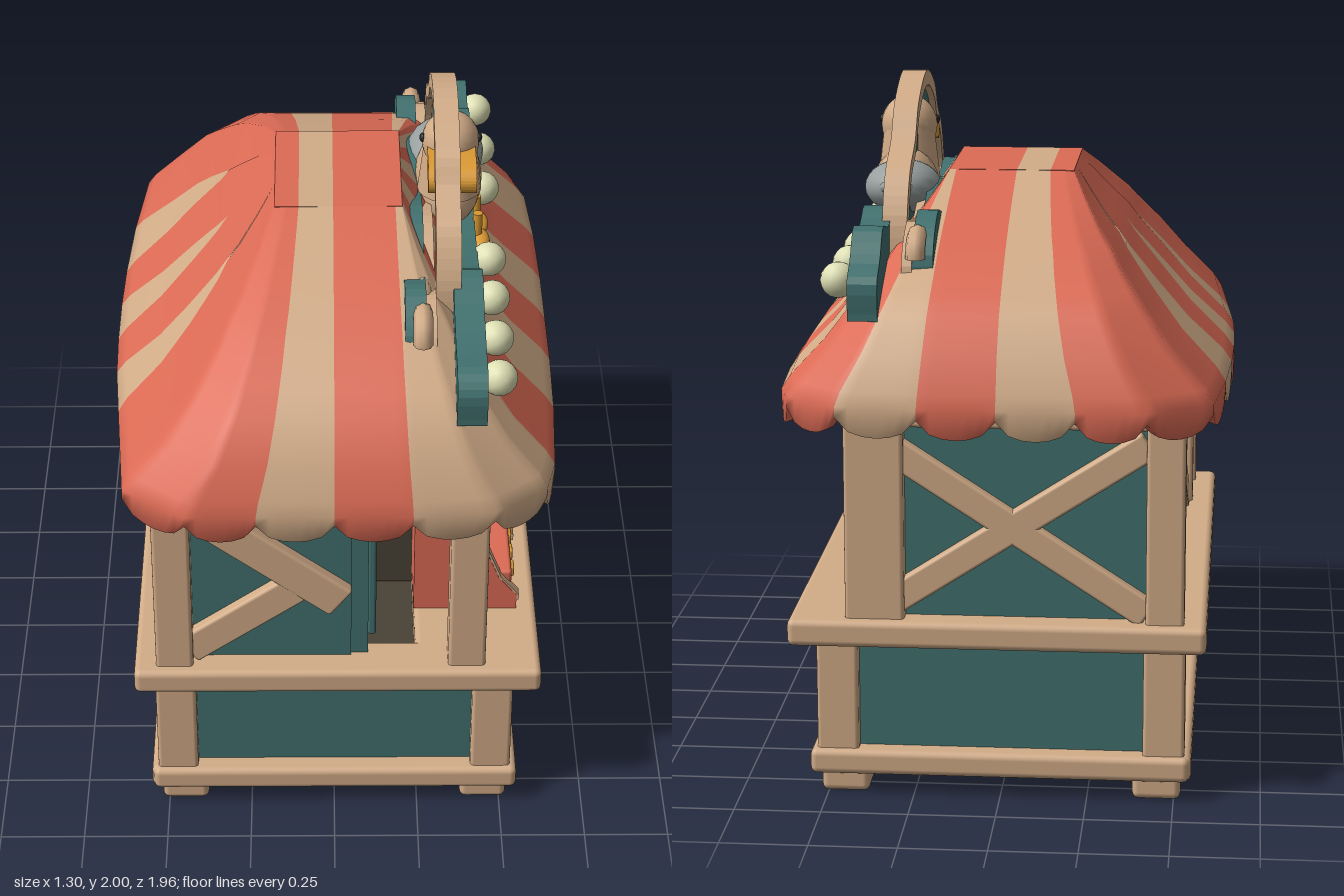
import * as THREE from 'three';
import { RoundedBoxGeometry } from 'three/addons/geometries/RoundedBoxGeometry.js';

const mat = (name, color, side = THREE.FrontSide) => {
  const m = new THREE.MeshStandardMaterial({ color, side });
  m.name = name;
  return m;
};

export function createModel() {
  const root = new THREE.Group();
  root.name = 'marketStall';
  const D = THREE.DoubleSide;
  const tan = mat('tan', 0xd2ac88, D), teal = mat('teal', 0x41716f), red = mat('red', 0xdc6b55, D);
  const yellow = mat('yellow', 0xdb9a35), grey = mat('grey', 0x98a09f), brown = mat('darkBrown', 0x4a4235);
  const cream = mat('bulbCream', 0xdfe0b4), black = mat('black', 0x222426);

  const add = (name, geo, m, parent = root) => {
    const mesh = new THREE.Mesh(geo, m);
    mesh.name = name;
    parent.add(mesh);
    return mesh;
  };
  // Box given by its limits on each axis
  const box = (name, x0, x1, y0, y1, z0, z1, m, r = 0.012) => {
    const s = [x1 - x0, y1 - y0, z1 - z0];
    const geo = r ? new RoundedBoxGeometry(...s, 2, Math.min(r, Math.min(...s) * 0.45)) : new THREE.BoxGeometry(...s);
    geo.translate((x0 + x1) / 2, (y0 + y1) / 2, (z0 + z1) / 2);
    return add(name, geo, m);
  };
  const ball = (name, x, y, z, sx, sy, sz, m, parent = root) => {
    const b = add(name, new THREE.SphereGeometry(1, 20, 14), m, parent);
    b.position.set(x, y, z);
    b.scale.set(sx, sy, sz);
    return b;
  };
  // Extrudes an outline of [z, y] points along x
  const outline = pts => new THREE.Shape(pts.map(([z, y]) => new THREE.Vector2(-z, y)));
  const slab = (name, shape, x0, x1, m) => {
    const geo = new THREE.ExtrudeGeometry(shape, { depth: x1 - x0, bevelEnabled: false, curveSegments: 20 });
    geo.rotateY(Math.PI / 2).translate(x0, 0, 0);
    return add(name, geo, m);
  };
  const smooth = (pts, n = 48) => new THREE.SplineCurve(pts.map(p => new THREE.Vector2(...p))).getPoints(n).map(p => [p.x, p.y]);
  // Plank between two points on a wall; axis names the wall's thin direction
  const brace = (name, axis, at, a, b, w = 0.09) => {
    const du = b[0] - a[0], dv = b[1] - a[1];
    const m = add(name, new RoundedBoxGeometry(Math.hypot(du, dv), w, 0.05, 2, 0.01), tan);
    const u = (a[0] + b[0]) / 2, v = (a[1] + b[1]) / 2, ang = Math.atan2(dv, du);
    if (axis === 'z') { m.position.set(u, v, at); m.rotation.z = ang; }
    else { m.position.set(at, v, u); m.rotation.set(0, -Math.PI / 2, ang, 'YXZ'); }
  };

  // Base: feet, rails, lower body
  for (const sx of [-1, 1]) for (const sz of [-1, 1]) {
    box('foot', sx * 0.45 - 0.07, sx * 0.45 + 0.07, 0, 0.08, sz * 0.76 - 0.075, sz * 0.76 + 0.075, tan, 0.02);
    box('lowerPost', sx * 0.47 - 0.06, sx * 0.47 + 0.06, 0.1, 0.47, sz * 0.785 - 0.055, sz * 0.785 + 0.055, tan);
    const px = sx > 0 ? 0.39 : -0.47, inset = sx > 0 && sz < 0 ? 0.115 : 0.055;
    box('upperPost', px - inset, px + 0.055, 0.5, 1.15, sz * 0.79 - 0.053, sz * 0.79 + 0.053, tan);
  }
  for (const s of [-1, 1]) {
    box('bottomRailEnd', -0.545, 0.55, 0.06, 0.135, s * 0.82 - 0.04, s * 0.82 + 0.04, tan, 0.02);
    box('counterEnd', -0.59, 0.61, 0.45, 0.53, s * 0.8 - 0.075, s * 0.8 + 0.075, tan, 0.02);
    box('bottomRailSide', s * 0.51 - 0.04, s * 0.51 + 0.04, 0.06, 0.135, -0.85, 0.85, tan, 0.02);
  }
  box('undersideBoard', -0.5, 0.5, 0.06, 0.1, -0.8, 0.8, tan, 0);
  box('lowerPanel', -0.485, 0.49, 0.1, 0.46, -0.8, 0.8, teal, 0);
  box('innerFloor', -0.45, 0.4, 0.46, 0.475, -0.75, 0.75, brown, 0);
  box('servingCounter', 0.24, 0.61, 0.45, 0.53, -0.87, 0.875, tan, 0.02);
  box('backCounter', -0.59, -0.4, 0.45, 0.53, -0.87, 0.875, tan, 0.02);

  // Upper walls with braces
  box('backWall', -0.47, -0.44, 0.5, 1.12, -0.75, 0.75, teal, 0);
  box('endWall', -0.43, 0.36, 0.5, 1.12, -0.79, -0.76, teal, 0);
  box('doorWall', -0.43, 0.05, 0.5, 1.12, 0.76, 0.79, teal, 0);
  box('innerPartition', 0.05, 0.1, 0.5, 1.04, 0.38, 0.78, teal, 0);
  box('partitionPanel', 0.1, 0.125, 0.53, 1.03, 0.43, 0.7, teal, 0.008);
  box('partitionHeader', 0.05, 0.095, 1.04, 1.12, 0.38, 0.75, brown, 0);
  box('backStile', -0.52, -0.45, 0.5, 1.12, 0.48, 0.55, tan);
  for (const s of [-1, 1]) {
    brace('endBrace', 'z', -0.8, [-0.42, 0.8 - s * 0.25], [0.35, 0.8 + s * 0.25], 0.085);
    brace('backBrace', 'x', -0.485, [-0.74, 0.8 - s * 0.26], [0.5, 0.8 + s * 0.26], 0.085);
    box('topBeamEnd', -0.5, 0.42, 1.09, 1.15, s * 0.785 - 0.04, s * 0.785 + 0.04, tan);
  }
  brace('doorBraceUpper', 'z', 0.8, [-0.42, 1.085], [0.02, 0.745], 0.11);
  brace('doorBraceLower', 'z', 0.798, [-0.43, 0.57], [-0.11, 0.8], 0.1);
  box('topBeamBack', -0.51, -0.43, 1.07, 1.15, -0.8, 0.8, tan);
  box('topBeamFront', 0.35, 0.43, 1.09, 1.16, -0.8, 0.8, tan);
  box('ceiling', -0.5, 0.36, 1.12, 1.14, -0.8, 0.8, brown, 0);

  // Prize shelves
  box('shelfBack', -0.3, -0.28, 0.48, 1.1, -0.75, 0.4, brown, 0);
  box('shelfSide', -0.3, 0.275, 0.48, 1.1, 0.36, 0.38, brown, 0);
  box('shelfBase', -0.28, 0.1, 0.48, 0.535, -0.735, 0.36, brown);
  for (const [y0, y1] of [[0.735, 0.785], [1.02, 1.08]]) box('shelfBoard', -0.28, 0.1, y0, y1, -0.735, 0.36, tan);

  // Plush fish prizes
  const fish = (z, y, body, fin, s, spots) => {
    const g = new THREE.Group();
    g.name = 'fishPrize';
    g.position.set(-0.02, y, z);
    g.scale.setScalar(s);
    ball('fishBody', 0, 0, 0, 0.08, 0.082, 0.11, body, g);
    ball('fishLip', 0, -0.01, 0.105, 0.03, 0.025, 0.02, fin, g);
    ball('topFin', 0, 0.075, -0.02, 0.02, 0.03, 0.06, fin, g);
    for (const k of [-1, 1]) {
      ball('tailLobe', 0, k * 0.035, -0.125, 0.02, 0.045, 0.03, fin, g).rotation.x = k * 0.5;
      ball('sideFin', k * 0.078, -0.025, -0.02, 0.012, 0.025, 0.035, fin, g);
      ball('fishEye', k * 0.066, 0.025, 0.055, 0.01, 0.01, 0.01, black, g);
    }
    if (spots) for (const [sy, sz] of [[0.05, 0.02], [0.02, -0.075], [0.03, -0.02], [-0.05, 0.04]]) {
      const x = 0.08 * Math.sqrt(1 - (sy / 0.082) ** 2 - (sz / 0.11) ** 2);
      ball('fishSpot', x, sy, sz, 0.008, 0.013, 0.013, red, g);
    }
    root.add(g);
  };
  fish(0.18, 0.89, teal, teal, 1.1);
  fish(-0.09, 0.88, tan, yellow, 1.05, true);
  fish(-0.38, 0.88, grey, grey, 1.05);
  fish(-0.61, 0.88, grey, grey, 1);
  fish(0.17, 0.63, yellow, yellow, 1);
  fish(-0.1, 0.63, yellow, yellow, 1.1);
  fish(-0.38, 0.62, teal, teal, 1);
  fish(-0.62, 0.63, tan, tan, 1, true);

  // Prize machine on the counter
  const arch = (hw, y0, ySide, rise) => {
    const s = new THREE.Shape();
    s.moveTo(-0.41 - hw, y0);
    s.lineTo(-0.41 + hw, y0);
    s.lineTo(-0.41 + hw, ySide);
    s.absellipse(-0.41, ySide, hw, rise, 0, Math.PI, false);
    return s;
  };
  slab('machineBody', arch(0.165, 0.53, 0.82, 0.11), 0.24, 0.435, red);
  slab('machineFace', arch(0.163, 0.62, 0.82, 0.108), 0.435, 0.445, tan);
  slab('machineCrest', arch(0.12, 0.83, 0.835, 0.065), 0.445, 0.452, red);
  box('machineScreen', 0.445, 0.453, 0.68, 0.8, 0.29, 0.53, grey, 0);
  for (const z of [0.33, 0.41, 0.49]) {
    ball('reelSymbol', 0.455, 0.74, z, 0.012, 0.035, 0.025, teal);
    box('machineButton', 0.515, 0.545, 0.6, 0.635, z - 0.022, z + 0.022, yellow, 0.006);
  }
  // Red cheeks with tan front edges
  const cheek = (y0, d) => new THREE.Shape([[0.4, y0], [0.55 + d, y0], [0.55 + d, 0.58], [0.495 + d, 0.645], [0.45 + d, 0.76], [0.4, 0.76]].map(p => new THREE.Vector2(...p)));
  for (const s of [-1, 1]) for (const [name, y0, d, w, m] of [['machineCheek', 0.53, 0, 0.036, red], ['cheekTrim', 0.56, 0.007, 0.032, tan]]) {
    add(name, new THREE.ExtrudeGeometry(cheek(y0, d), { depth: w, bevelEnabled: false }).translate(0, 0, 0.41 + s * 0.147 - w / 2), m);
  }
  box('machineTray', 0.4, 0.535, 0.53, 0.65, 0.27, 0.55, red, 0.01);
  const lever = new THREE.CatmullRomCurve3([[0.35, 0.65, 0.25], [0.36, 0.66, 0.19], [0.37, 0.74, 0.16], [0.37, 0.82, 0.14]].map(p => new THREE.Vector3(...p)));
  add('leverArm', new THREE.TubeGeometry(lever, 14, 0.014, 8), tan);
  ball('leverKnob', 0.37, 0.82, 0.14, 0.038, 0.038, 0.038, red);

  // Striped awning roof: rim points [x, z, crown x, stripe (0 red, 1 tan), blade centre z]
  const rim = [
    [-0.42, 0.98, -0.14, 0], [-0.22, 0.98, -0.1, 1], [0, 0.98, 0, 0], [0.22, 0.98, 0.18, 1], [0.45, 0.96, 0.2, 1],
    [0.6, 0.85, 0.2, 1], [0.63, 0.73, 0.2, 0], [0.645, 0.45, 0.2, 1], [0.65, 0.2, 0.2, 0], [0.65, -0.03, 0.2, 1],
    [0.65, -0.25, 0.2, 0], [0.645, -0.5, 0.2, 1], [0.63, -0.75, 0.2, 0], [0.6, -0.85, 0.2, 0], [0.45, -0.96, 0.2, 1],
    [0.22, -0.98, 0.18, 0], [0, -0.98, 0, 1], [-0.22, -0.98, -0.1, 0], [-0.42, -0.98, -0.14, 0], [-0.6, -0.85, -0.17, 0],
    [-0.63, -0.56, -0.17, 1, -0.43], [-0.645, -0.3, -0.17, 0, -0.43], [-0.65, -0.11, -0.17, 1, -0.015],
    [-0.65, 0.08, -0.17, 0, -0.015], [-0.645, 0.26, -0.17, 1, 0.36], [-0.63, 0.46, -0.17, 0, 0.36], [-0.6, 0.85, -0.17, 0]];
  // Rows [height, inset in x, inset in z, 1 = scalloped], from the soffit round the lip up to the crown
  const rows = [[1.15, 0.5, 0.23], [1.15, 0.1, 0.05], [1.155, 0.07, 0.035, 1], [1.15, 0, 0, 1], [1.18, 0, 0], [1.22, 0.06, 0.02],
    [1.32, 0.28, 0.07], [1.42, 0.46, 0.17], [1.47, 0.55, 0.26], [1.52, 0.64, 0.36], [1.56, 0.7, 0.45], [1.6, 0.78, 0.55],
    [1.67, 0.9, 0.77], [1.73, 1, 1]];
  const rimAt = ([ex, ez, tx, , c], fx, fz) => {
    const w = c === undefined ? 1 : Math.sqrt(Math.max(0, 1 - fx / 0.68));
    const z = c === undefined ? ez : c + (ez - c) * w;
    const tz = Math.abs(ez) > 0.9 ? Math.sign(ez) * 0.22 : z * 0.25;
    return [ex + (tx - ex) * fx, z + (tz - z) * fz];
  };
  const N = 6, cols = rim.length * N, pos = [], tris = [[], []];
  rows.forEach(([y, fx, fz, scallop], r) => {
    for (let i = 0; i < cols; i++) {
      const k = Math.floor(i / N), s = (i % N) / N;
      const a = rimAt(rim[k], fx, fz), b = rimAt(rim[(k + 1) % rim.length], fx, fz);
      const drop = scallop ? 0.055 * Math.sqrt(Math.sin(Math.PI * s)) : 0;
      pos.push(a[0] + (b[0] - a[0]) * s, y - drop, a[1] + (b[1] - a[1]) * s);
      if (r === rows.length - 1) continue;
      const p = r * cols + i, q = r * cols + (i + 1) % cols;
      tris[rim[k][3]].push(p, q, q + cols, p, q + cols, p + cols);
    }
  });
  const roof = new THREE.BufferGeometry();
  roof.setAttribute('position', new THREE.Float32BufferAttribute(pos, 3));
  roof.setIndex([...tris[0], ...tris[1]]);
  roof.addGroup(0, tris[0].length, 0);
  roof.addGroup(tris[0].length, tris[1].length, 1);
  roof.computeVertexNormals();
  add('awningRoof', roof, [red, tan]);
  for (const [a, b, m] of [[-0.17, -0.1, red], [-0.1, 0, tan], [0, 0.2, red]]) box('roofCrown', a, b, 1.722, 1.731, -0.22, 0.22, m, 0);

  // Sign: wave board, arched panel with rim, rear waves
  const wave = smooth([[-0.85, 1.42], [-0.85, 1.51], [-0.78, 1.56], [-0.7, 1.64], [-0.57, 1.62], [-0.45, 1.66], [-0.3, 1.56],
    [-0.1, 1.53], [0.1, 1.53], [0.3, 1.56], [0.42, 1.64], [0.55, 1.6], [0.7, 1.56], [0.8, 1.55], [0.85, 1.5], [0.85, 1.42]]);
  slab('waveBoard', outline([[-0.85, 1.4], ...wave, [0.85, 1.4]]), 0.34, 0.425, teal);
  const top = smooth([[-0.56, 1.5], [-0.54, 1.64], [-0.46, 1.76], [-0.32, 1.83], [-0.22, 1.93], [0, 1.995], [0.22, 1.93], [0.31, 1.84], [0.42, 1.77], [0.49, 1.64], [0.5, 1.5]]);
  const inner = top.map(([z, y]) => [z * 0.91, 1.5 + (y - 1.5) * 0.91]);
  slab('archPanel', outline(inner), 0.31, 0.345, teal);
  slab('archRim', outline([...top, ...inner.slice().reverse()]), 0.29, 0.362, tan);
  const rear = smooth([[-0.7, 1.45], [-0.68, 1.58], [-0.55, 1.66], [-0.4, 1.64], [-0.2, 1.7], [0, 1.66], [0.2, 1.7], [0.4, 1.63], [0.55, 1.65], [0.65, 1.56], [0.67, 1.45]]);
  slab('rearWaveBoard', outline(rear), 0.2, 0.26, teal);
  slab('rearWaveTrim', outline(rear.map(([z, y]) => [z * 1.02, y - 0.03])), 0.26, 0.29, tan);
  for (const z of [-0.64, 0.47, 0.61]) {
    const curl = add('waveCurl', new THREE.TorusGeometry(0.06, 0.028, 8, 20, Math.PI), tan);
    curl.rotation.y = Math.PI / 2;
    curl.position.set(0.25, 1.55, z);
  }
  const bulbGeo = new THREE.IcosahedronGeometry(0.052, 2);
  for (const z of [0.76, 0.56, 0.35, 0.14, -0.27, -0.51, -0.76]) add('lightBulb', bulbGeo, cream).position.set(0.46, 1.5, z);

  // Seabird mascot
  ball('birdBody', 0.345, 1.655, -0.08, 0.1, 0.115, 0.17, tan).rotation.x = 0.25;
  ball('birdHead', 0.345, 1.83, 0.01, 0.085, 0.09, 0.085, tan);
  const neck = add('birdNeck', new THREE.CylinderGeometry(0.075, 0.095, 0.17, 20), tan);
  neck.position.set(0.345, 1.75, 0.0);
  const beak = smooth([[0.05, 1.835], [0.13, 1.835], [0.18, 1.825], [0.205, 1.795], [0.195, 1.76], [0.165, 1.77], [0.05, 1.775]], 24);
  slab('birdBeak', outline(beak), 0.275, 0.415, yellow);
  ball('birdWings', 0.34, 1.675, -0.2, 0.115, 0.08, 0.14, grey).rotation.x = 0.1;
  for (const s of [-1, 1]) ball('birdEye', 0.345 + s * 0.082, 1.845, 0.02, 0.01, 0.014, 0.014, black);
  ball('birdTail', 0.345, 1.68, -0.28, 0.06, 0.03, 0.08, grey).rotation.x = 0.25;
  for (const z of [-0.04, -0.14]) {
    const leg = add('birdLeg', new THREE.CylinderGeometry(0.015, 0.015, 0.09, 10), yellow);
    leg.position.set(0.435, 1.505, z);
    ball('birdFoot', 0.445, 1.46, z + 0.01, 0.028, 0.022, 0.06, yellow);
  }
  return root;
}
